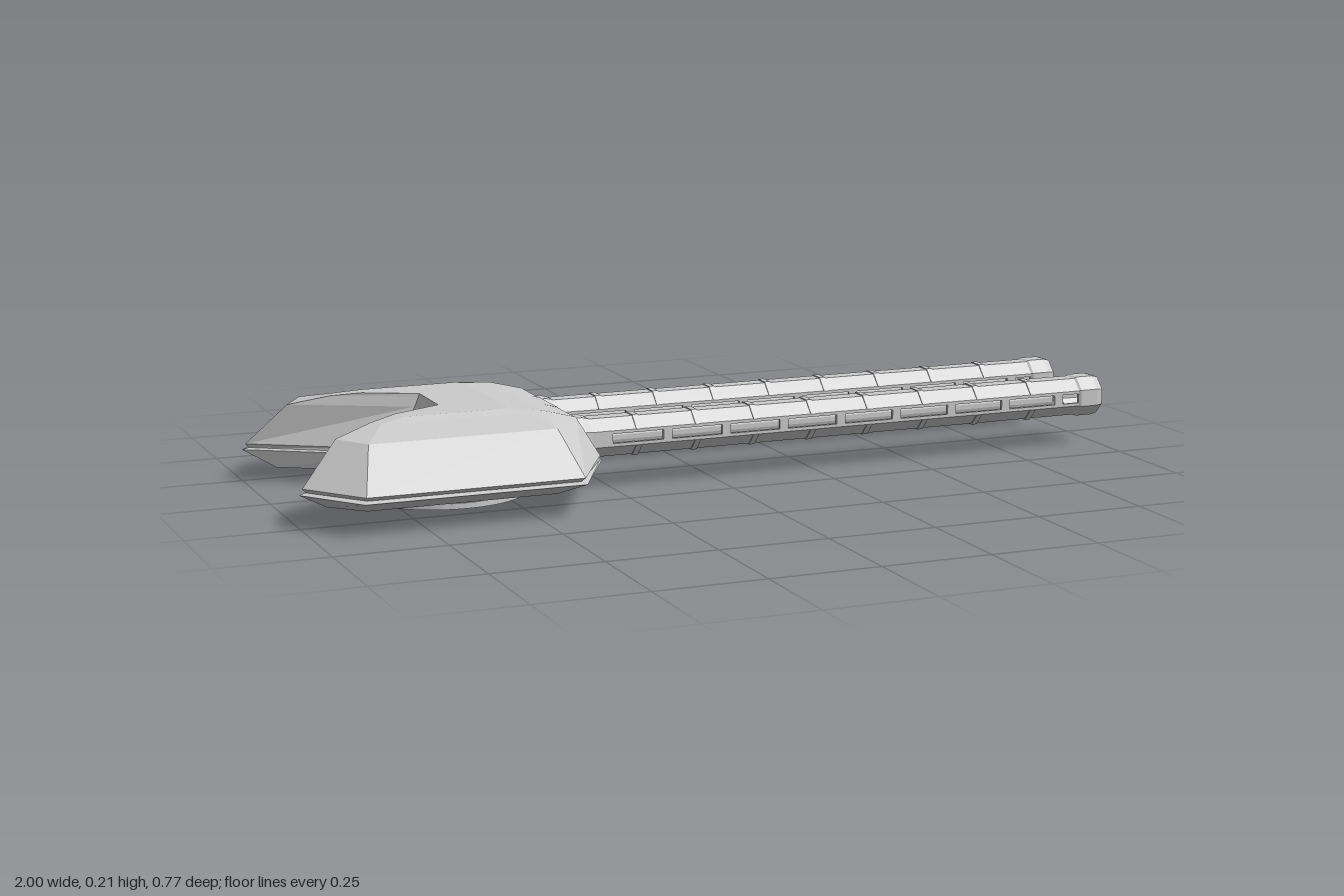
import * as THREE from 'three';

const mat = new THREE.MeshStandardMaterial({ color: 0xcccccc, flatShading: true, side: THREE.DoubleSide });

function add(parent, name, geo, x = 0, y = 0, z = 0) {
  const m = new THREE.Mesh(geo, mat);
  m.name = name;
  m.position.set(x, y, z);
  parent.add(m);
  return m;
}

const poly = (pts) => new THREE.Shape(pts.map(([x, y]) => new THREE.Vector2(x, y)));
const extrude = (shape, depth) => new THREE.ExtrudeGeometry(shape, { depth, bevelEnabled: false });

// Revolves [radius, x] points about the x axis
function latheX(pts, sides) {
  const geo = new THREE.LatheGeometry(pts.map(([r, x]) => new THREE.Vector2(r, x)), sides, Math.PI / sides);
  return geo.rotateZ(-Math.PI / 2);
}

// Joins equal-length rings from bottom to top and caps both ends
function loft(rings) {
  const n = rings[0].length, idx = [];
  for (let r = 0; r < rings.length - 1; r++) {
    for (let i = 0; i < n; i++) {
      const a = r * n + i, b = r * n + (i + 1) % n;
      idx.push(a, a + n, b, b, a + n, b + n);
    }
  }
  const cap = (r, up) => {
    const p = rings[r].map(([x, , z]) => new THREE.Vector2(x, z));
    for (const [a, b, c] of THREE.ShapeUtils.triangulateShape(p, [])) {
      const cross = p[b].clone().sub(p[a]).cross(p[c].clone().sub(p[a]));
      // a positive turn in (x, z) faces down
      if ((cross < 0) === up) idx.push(r * n + a, r * n + b, r * n + c);
      else idx.push(r * n + a, r * n + c, r * n + b);
    }
  };
  cap(0, false);
  cap(rings.length - 1, true);
  const geo = new THREE.BufferGeometry();
  geo.setAttribute('position', new THREE.Float32BufferAttribute(rings.flat(2), 3));
  geo.setIndex(idx);
  const out = geo.toNonIndexed();
  out.computeVertexNormals();
  return out;
}

// Half outlines per height: front recess, cheek, shoulder, rear, tip, notch
const levels = [
  [0.033, [[-0.37, 0], [-0.37, 0.16], [-0.37, 0.17], [-0.43, 0.28], [-0.86, 0.28], [-0.93, 0.21], [-0.69, 0.062]]],
  [0.073, [[-0.29, 0], [-0.29, 0.168], [-0.29, 0.178], [-0.4, 0.385], [-0.895, 0.385], [-1, 0.245], [-0.71, 0.064]]],
  [0.077, [[-0.335, 0], [-0.335, 0.168], [-0.293, 0.178], [-0.408, 0.368], [-0.885, 0.368], [-0.985, 0.243], [-0.705, 0.064]]],
  [0.086, [[-0.335, 0], [-0.335, 0.168], [-0.293, 0.178], [-0.402, 0.378], [-0.89, 0.378], [-0.992, 0.244], [-0.703, 0.064]]],
  [0.178, [[-0.352, 0], [-0.352, 0.168], [-0.35, 0.178], [-0.43, 0.28], [-0.855, 0.28], [-0.905, 0.2], [-0.645, 0.067]]],
  [0.199, [[-0.43, 0], [-0.43, 0.168], [-0.43, 0.175], [-0.46, 0.19], [-0.8, 0.19], [-0.815, 0.16], [-0.636, 0.068]]],
  [0.207, [[-0.5, 0], [-0.5, 0.145], [-0.5, 0.15], [-0.52, 0.165], [-0.74, 0.165], [-0.75, 0.127], [-0.633, 0.068]]],
];

function buildBody(g) {
  const rings = levels.map(([y, half]) => [
    ...half.map(([x, z]) => [x, y, z]),
    ...half.slice(1).reverse().map(([x, z]) => [x, y, -z]),
  ]);
  add(g, 'turretBody', loft(rings));

  // Armour wedge between the two gun recesses
  const wedge = poly([[-0.42, 0.073], [-0.29, 0.073], [-0.297, 0.12], [-0.35, 0.178], [-0.42, 0.196]]);
  add(g, 'frontWedge', extrude(wedge, 0.12), 0, 0, -0.06);

  // Stepped turning ring
  const ring = [[0, 0], [0.205, 0], [0.205, 0.013], [0.198, 0.013], [0.198, 0.022], [0.185, 0.024], [0.19, 0.035], [0, 0.035]];
  add(g, 'turretRing', new THREE.LatheGeometry(ring.map(([r, y]) => new THREE.Vector2(r, y)), 48), -0.613, 0, 0);

  // Machinery in the rear notch
  const rear = new THREE.Group();
  rear.name = 'rearMachinery';
  g.add(rear);
  add(rear, 'drumAxle', new THREE.CylinderGeometry(0.022, 0.022, 0.11, 12).rotateX(Math.PI / 2), -0.73, 0.1, 0);
  for (const z of [-0.03, 0, 0.03]) {
    add(rear, 'rearPipe', new THREE.CylinderGeometry(0.007, 0.007, 0.12, 10).rotateZ(Math.PI / 2), -0.71, 0.13, z);
    add(rear, 'drumDisc', new THREE.CylinderGeometry(0.032, 0.032, 0.012, 16).rotateX(Math.PI / 2), -0.73, 0.1, z);
  }
  add(rear, 'drumSupport', new THREE.BoxGeometry(0.05, 0.06, 0.07), -0.72, 0.06, 0);
}

const A = 0.044, S = A * Math.tan(Math.PI / 8); // octagon apothem and half side

// Upper three-sided part of the octagonal sleeve, laid along x
function channel(grow, wall, length) {
  const o = A + grow, i = o - wall, k = S / A;
  const shape = poly([[-o, S], [-o * k, o], [o * k, o], [o, S], [i, S], [i * k, i], [-i * k, i], [-i, S]]);
  return extrude(shape, length).rotateY(Math.PI / 2);
}

function buildGun() {
  const gun = new THREE.Group();
  gun.name = 'gun';
  const start = -0.35, end = 0.94, pitch = 0.1435;

  // Slotted side walls
  const side = poly([[start, -S], [end, -S], [end, S], [start, S]]);
  for (let i = 0; i < 9; i++) {
    const a = -0.255 + i * pitch, b = i < 8 ? a + 0.122 : 0.936, h = 0.011;
    side.holes.push(new THREE.Path([[a, -h], [a, h], [b, h], [b, -h]].map(([x, y]) => new THREE.Vector2(x, y))));
  }
  for (const z of [-A, A - 0.007]) add(gun, 'slottedWall', extrude(side, 0.007), 0, 0, z);

  // Top and bottom covers with raised bands
  for (const turn of [0, Math.PI]) {
    add(gun, 'sleeveCover', channel(0, 0.007, end - start), start).rotation.x = turn;
    for (let i = 0; i < 8; i++) {
      add(gun, 'sleeveBand', channel(0.0025, 0.006, 0.014), -0.2 + i * pitch).rotation.x = turn;
    }
  }

  // Inner barrel, muzzle and root collar
  add(gun, 'innerBarrel', latheX([[0.033, start], [0.033, 0.872], [0.026, 0.872], [0.026, 0.72], [0, 0.72]], 20));
  add(gun, 'muzzle', latheX([[0.039, 0.936], [0.047, 0.936], [0.051, 0.942], [0.051, 0.985], [0.047, 1], [0.041, 1], [0.039, 0.936]], 8));
  add(gun, 'rootCollar', latheX([[0.03, -0.35], [0.053, -0.35], [0.053, -0.32], [0.049, -0.305], [0.03, -0.305]], 8));
  return gun;
}

export function createModel() {
  const g = new THREE.Group();
  g.name = 'twinGunTurret';
  buildBody(g);
  for (const s of [-1, 1]) {
    const gun = buildGun();
    gun.position.set(0, 0.117, s * 0.117);
    g.add(gun);
  }
  return g;
}
